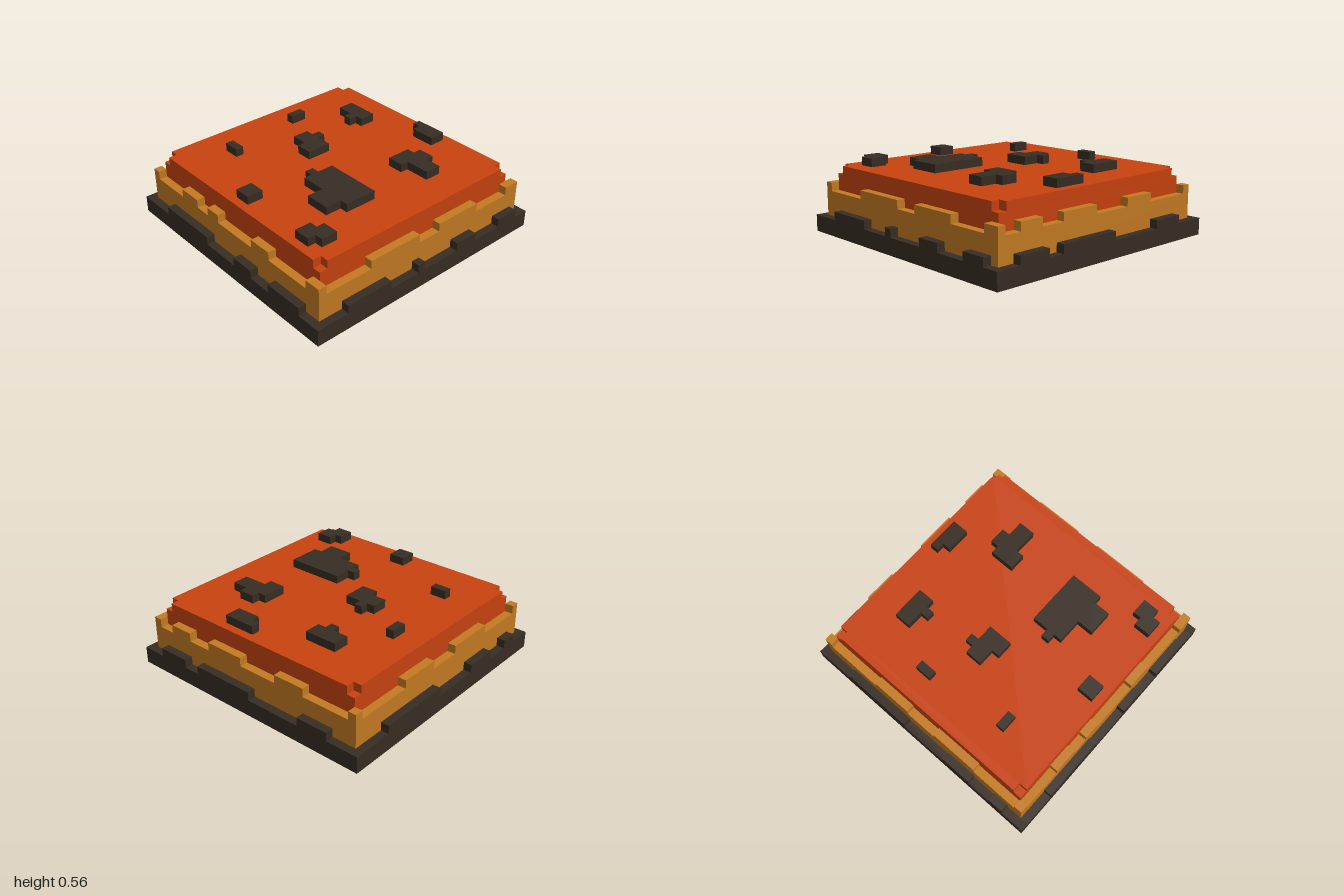
import * as THREE from 'three';

const U = 1 / 16; // one block

const paint = (name, hex) => {
  const m = new THREE.MeshStandardMaterial({ color: hex });
  m.name = name;
  return m;
};

export function createModel() {
  const charcoal = paint('charcoal', 0x372d23);
  const gold = paint('gold', 0xc47a22);
  const red = paint('red', 0xc8420f);
  const blue = paint('blue', 0x6d8aab);
  const model = new THREE.Group();
  model.name = 'layeredSlab';

  // Box between two corners, given in blocks
  function block(parent, name, mat, x0, y0, z0, x1, y1, z1) {
    const geo = new THREE.BoxGeometry((x1 - x0) * U, (y1 - y0) * U, (z1 - z0) * U);
    const mesh = new THREE.Mesh(geo, mat);
    mesh.position.set((x0 + x1) / 2 * U, (y0 + y1) / 2 * U, (z0 + z1) / 2 * U);
    mesh.name = name;
    parent.add(mesh);
  }

  function part(name) {
    const g = new THREE.Group();
    g.name = name;
    model.add(g);
    return g;
  }

  // Raised teeth along the four edges of a layer whose outer half width is r
  function teeth(parent, name, mat, r, y, edges) {
    for (const [a, b] of edges.front) block(parent, name, mat, a, y, r - 1, b, y + 1, r);
    for (const [a, b] of edges.back) block(parent, name, mat, a, y, -r, b, y + 1, 1 - r);
    for (const [a, b] of edges.right) block(parent, name, mat, r - 1, y, a, r, y + 1, b);
    for (const [a, b] of edges.left) block(parent, name, mat, -r, y, a, 1 - r, y + 1, b);
  }

  // Underside panel framed by the charcoal base rim
  block(model, 'undersidePanel', blue, -15, 0, -15, 15, 1, 15);
  const base = part('baseRim');
  for (const s of [-1, 1]) {
    block(base, 'rimSide', charcoal, s * 15.5 - 0.5, 0, -16, s * 15.5 + 0.5, 2, 16);
    block(base, 'rimEnd', charcoal, -15, 0, s * 15.5 - 0.5, 15, 2, s * 15.5 + 0.5);
  }
  teeth(base, 'rimTooth', charcoal, 16, 2, {
    front: [[-11, -3], [2, 5], [8, 13]],
    back: [[-12, -8], [-1, 7], [9, 13]],
    right: [[-14, -11], [-7, -4], [1, 2], [6, 12]],
    left: [[-11, -2], [4, 8], [11, 13]],
  });

  // Gold middle layer with raised corners
  const middle = part('middleLayer');
  block(middle, 'middleBody', gold, -15, 1, -15, 15, 5, 15);
  teeth(middle, 'middleTooth', gold, 15, 5, {
    front: [[-15, -14], [-9, -6], [-4, -2], [4, 7], [13, 15]],
    back: [[-15, -14], [-8, -4], [1, 6], [9, 12], [14, 15]],
    right: [[-15, -13], [-8, -2], [1, 8], [14, 15]],
    left: [[-15, -14], [-7, -2], [2, 8], [14, 15]],
  });

  // Red top layer, its upper course notched at the corners
  const top = part('topLayer');
  block(top, 'topBody', red, -14, 5, -14, 14, 7, 14);
  block(top, 'topCourse', red, -13, 7, -14, 13, 8, 14);
  for (const s of [-1, 1]) {
    block(top, 'topCourseSide', red, s * 13.5 - 0.5, 7, -13, s * 13.5 + 0.5, 8, 13);
  }

  // Charcoal crust patches, each a list of [x0, z0, x1, z1]
  const patches = [
    [[1, -13, 2, -12], [2, -13, 5, -11]],
    [[-8, -10, -4, -8], [-6, -8, -5, -7]],
    [[5, -7, 10, -5], [6, -8, 8, -7], [5, -5, 7, -4]],
    [[-11, -4, -10, -2]],
    [[-6, -1, -2, 1], [-5, -2, -4, -1], [-4, 1, -2, 2]],
    [[2, 2, 9, 6], [1, 4, 2, 5], [5, 6, 8, 8]],
    [[-10, 7, -8, 8]],
    [[-1, 11, 1, 13]],
    [[10, 10, 12, 12], [9, 11, 10, 12], [9, 12, 11, 13]],
  ];
  for (const rects of patches) {
    const patch = part('crustPatch');
    for (const [x0, z0, x1, z1] of rects) {
      block(patch, 'crustBlock', charcoal, x0, 8, z0, x1, 9, z1);
    }
  }

  return model;
}
